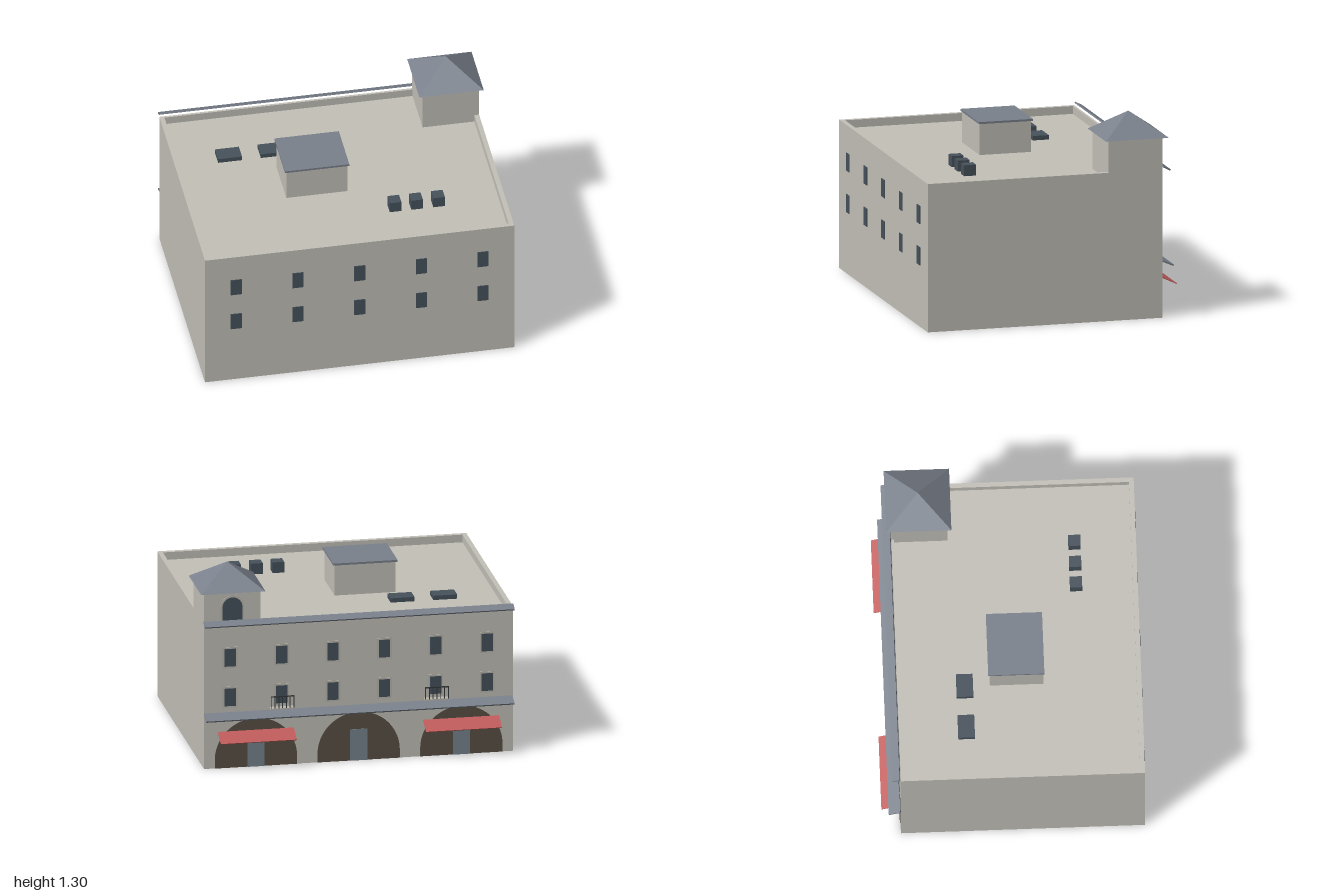
import * as THREE from 'three';

const mat = (name, color) => {
  const m = new THREE.MeshStandardMaterial({ color });
  m.name = name;
  return m;
};

export function createModel() {
  const M = {
    stone: mat('stone', 0xc4c1b9),
    trim: mat('trim', 0xbcb8ae),
    slate: mat('slate', 0x7a818c),
    glass: mat('darkGlass', 0x46525c),
    brown: mat('archShadow', 0x5a5046),
    door: mat('door', 0x78848e),
    awning: mat('awningRed', 0xc25c5c),
    iron: mat('iron', 0x33383c),
  };
  const root = new THREE.Group();
  const CX = -0.015, BACK = -0.71, FRONT = 0.82, ROOF = 0.9;

  const add = (name, geo, material, parent = root) => {
    const mesh = new THREE.Mesh(geo, material);
    mesh.name = name;
    parent.add(mesh);
    return mesh;
  };
  // Box given by its extents on each axis
  const box = (name, [x0, x1], [y0, y1], [z0, z1], material, parent) => {
    const m = add(name, new THREE.BoxGeometry(x1 - x0, y1 - y0, z1 - z0), material, parent);
    m.position.set((x0 + x1) / 2, (y0 + y1) / 2, (z0 + z1) / 2);
    return m;
  };
  // Thin board sloping down and outwards from the back wall
  const slopedBoard = (name, [x0, x1], [zIn, yIn], [zOut, yOut], t, material) => {
    const dy = yIn - yOut, dz = zIn - zOut;
    const m = add(name, new THREE.BoxGeometry(x1 - x0, t, Math.hypot(dy, dz)), material);
    m.position.set((x0 + x1) / 2, (yIn + yOut) / 2, (zIn + zOut) / 2);
    m.rotation.x = -Math.atan2(dy, dz);
    return m;
  };
  // Round-headed plate on the back wall
  const archPlate = (name, x, y0, spring, r, depth, material) => {
    const s = new THREE.Shape();
    s.moveTo(-r, 0);
    s.lineTo(r, 0);
    s.lineTo(r, spring);
    s.absarc(0, spring, r, 0, Math.PI, false);
    s.lineTo(-r, 0);
    const geo = new THREE.ExtrudeGeometry(s, { depth, bevelEnabled: false, curveSegments: 24 });
    add(name, geo, material).position.set(x, y0, BACK - depth);
  };

  // Main block
  box('mainBlock', [-1, 0.97], [0, ROOF], [BACK, FRONT], M.stone);

  // Parapet ring around the sunken roof
  const ring = new THREE.Shape([[-1, -FRONT], [0.97, -FRONT], [0.97, -BACK], [-1, -BACK]]
    .map(([x, y]) => new THREE.Vector2(x, y)));
  ring.holes.push(new THREE.Path([[-0.97, -0.79], [-0.97, 0.695], [0.94, 0.695], [0.94, -0.79]]
    .map(([x, y]) => new THREE.Vector2(x, y))));
  const ringGeo = new THREE.ExtrudeGeometry(ring, { depth: 0.05, bevelEnabled: false });
  ringGeo.rotateX(-Math.PI / 2);
  add('parapet', ringGeo, M.stone).position.y = ROOF;

  // Corner tower with a pyramid roof
  box('towerWalls', [0.61, 0.97], [ROOF, 1.155], [BACK, -0.36], M.stone);
  const pyramid = new THREE.ConeGeometry(0.205 * Math.SQRT2, 0.145, 4, 1).toNonIndexed();
  pyramid.rotateY(Math.PI / 4);
  pyramid.computeVertexNormals();
  add('towerRoof', pyramid, M.slate).position.set(0.79, 1.2275, -0.54);
  archPlate('towerWindowFrame', 0.79, 0.96, 0.095, 0.075, 0.003, M.trim);
  archPlate('towerWindow', 0.79, 0.96, 0.095, 0.063, 0.006, M.glass);

  // Rooftop stair house
  box('roofHouseWalls', [-0.365, 0.025], [ROOF, 1.1], [-0.13, 0.205], M.stone);
  box('roofHouseRoof', [-0.375, 0.035], [1.1, 1.113], [-0.14, 0.212], M.slate);

  // Rooftop vents and skylights
  for (const x of [0.28, 0.417, 0.557])
    box('roofVent', [x - 0.037, x + 0.037], [ROOF, 0.97], [0.395, 0.472], M.glass);
  for (const x of [-0.64, -0.368])
    box('skylight', [x - 0.076, x + 0.076], [ROOF, 0.928], [-0.34, -0.235], M.glass);

  // Front windows
  for (let i = -2; i <= 2; i++) {
    const x = CX + i * 0.393;
    for (const y of [0.395, 0.66])
      box('frontWindow', [x - 0.035, x + 0.035], [y, y + 0.115], [FRONT, FRONT + 0.005], M.glass);
  }

  // Back windows with stone surrounds
  for (let i = 0; i < 6; i++) {
    const x = CX + (i - 2.5) * 0.328;
    for (const y of [0.395, 0.655]) {
      box('backWindowFrame', [x - 0.047, x + 0.047], [y, y + 0.137], [BACK - 0.004, BACK], M.trim);
      box('backWindow', [x - 0.036, x + 0.036], [y + 0.011, y + 0.126], [BACK - 0.007, BACK], M.glass);
    }
  }

  // Ground floor arches with doors
  for (let i = -1; i <= 1; i++) {
    const x = CX + i * 0.655;
    archPlate('archway', x, 0, 0.055, 0.262, 0.004, M.brown);
    box('door', [x - 0.055, x + 0.055], [0, 0.205], [BACK - 0.008, BACK], M.door);
  }

  // Cornice, ledge and awnings
  slopedBoard('cornice', [-1, 0.975], [-0.716, 0.967], [-0.763, 0.943], 0.009, M.slate);
  slopedBoard('ledge', [-0.995, 0.97], [-0.712, 0.362], [-0.785, 0.331], 0.009, M.slate);
  for (const x of [-0.665, 0.643])
    slopedBoard('awning', [x - 0.242, x + 0.242], [-0.726, 0.242], [-0.828, 0.194], 0.005, M.awning);

  // Balconies
  for (const side of [-1, 1]) {
    const b = new THREE.Group();
    b.name = 'balcony';
    b.position.x = CX + side * 0.492;
    root.add(b);
    const w = 0.075, zOut = -0.752, bar = 0.005;
    box('balconyFloor', [-w, w], [0.374, 0.383], [zOut, BACK], M.trim, b);
    box('balconyHandrail', [-w, w], [0.456, 0.463], [zOut, zOut + 0.006], M.iron, b);
    for (let i = 0; i < 7; i++) {
      const x = -w + bar / 2 + i * (2 * w - bar) / 6;
      box('balconyBar', [x - bar / 2, x + bar / 2], [0.383, 0.456], [zOut, zOut + bar], M.iron, b);
    }
  }
  return root;
}
